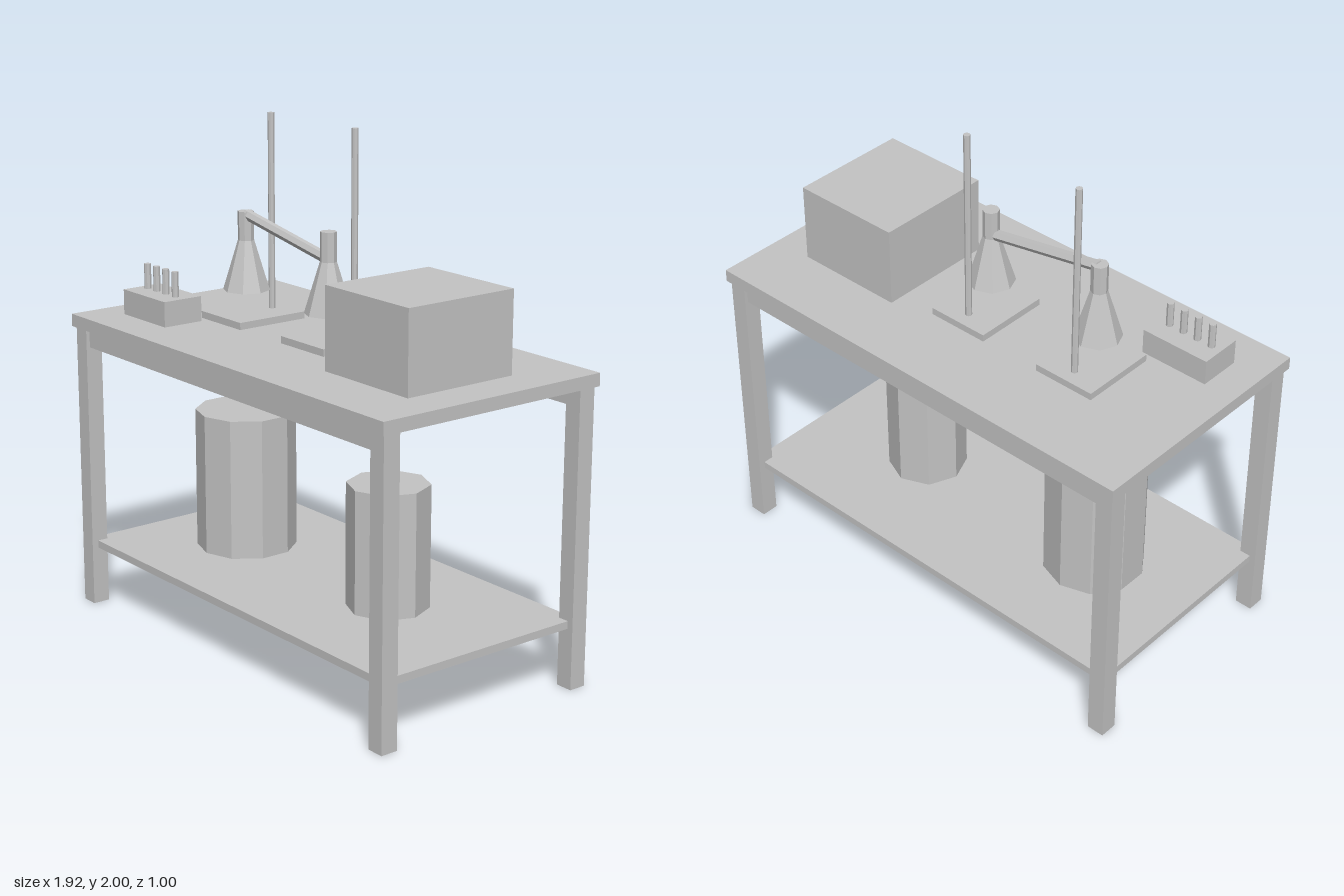
import * as THREE from 'three';

export function createModel() {
  const model = new THREE.Group();
  model.name = 'labBench';
  const grey = new THREE.MeshStandardMaterial({ color: 0xc4c4c4 });
  grey.name = 'plain grey';
  grey.flatShading = true;

  const add = (name, geometry, x, y, z, parent = model) => {
    const mesh = new THREE.Mesh(geometry, grey);
    mesh.name = name;
    mesh.position.set(x, y, z);
    parent.add(mesh);
    return mesh;
  };
  // Both helpers take the height of the bottom and of the top
  const box = (name, x, z, w, d, y0, y1, parent) =>
    add(name, new THREE.BoxGeometry(w, y1 - y0, d), x, (y0 + y1) / 2, z, parent);
  const cylinder = (name, x, z, r, sides, y0, y1, parent) =>
    add(name, new THREE.CylinderGeometry(r, r, y1 - y0, sides), x, (y0 + y1) / 2, z, parent);

  // Table
  box('tableTop', 0, 0, 1.925, 1, 1.15, 1.2);
  box('lowerShelf', 0, 0, 1.85, 0.92, 0.235, 0.265);
  for (const sz of [-1, 1]) {
    box('apron', 0, sz * 0.452, 1.78, 0.04, 1.075, 1.15);
    for (const sx of [-1, 1]) box('leg', sx * 0.915, sz * 0.452, 0.07, 0.07, 0, 1.15);
  }

  // Barrels on the shelf
  cylinder('largeBarrel', -0.488, 0, 0.2, 10, 0.265, 0.83);
  cylinder('smallBarrel', 0.397, 0, 0.158, 8, 0.265, 0.745);

  // Instrument box
  box('instrumentBox', 0.57, 0.014, 0.454, 0.482, 1.2, 1.515);

  // Rack with four tubes
  const rack = new THREE.Group();
  rack.name = 'tubeRack';
  model.add(rack);
  box('rackBlock', -0.688, 0.253, 0.285, 0.172, 1.2, 1.3, rack);
  for (let i = 0; i < 4; i++) cylinder('testTube', -0.787 + i * 0.0635, 0.253, 0.014, 8, 1.29, 1.4, rack);

  // Two stands, each with a flask held above its base
  for (const x of [-0.461, 0.053]) {
    const stand = new THREE.Group();
    stand.name = 'flaskStand';
    model.add(stand);
    box('standBase', x, -0.02, 0.256, 0.31, 1.2, 1.228, stand);
    cylinder('standRod', x, -0.114, 0.013, 8, 1.2, 2, stand);
    add('flaskBody', new THREE.CylinderGeometry(0.032, 0.092, 0.197, 8), x, 1.4185, 0.01, stand);
    cylinder('flaskNeck', x, 0.01, 0.032, 8, 1.515, 1.63, stand);
  }

  // Sloping pipe between the flask necks
  const from = new THREE.Vector3(-0.458, 1.618, 0.01);
  const to = new THREE.Vector3(0.053, 1.525, 0.01);
  const span = to.clone().sub(from);
  const mid = from.clone().add(to).multiplyScalar(0.5);
  const pipe = add('connectingPipe', new THREE.CylinderGeometry(0.021, 0.021, span.length(), 6), mid.x, mid.y, mid.z);
  pipe.quaternion.setFromUnitVectors(new THREE.Vector3(0, 1, 0), span.normalize());

  return model;
}
